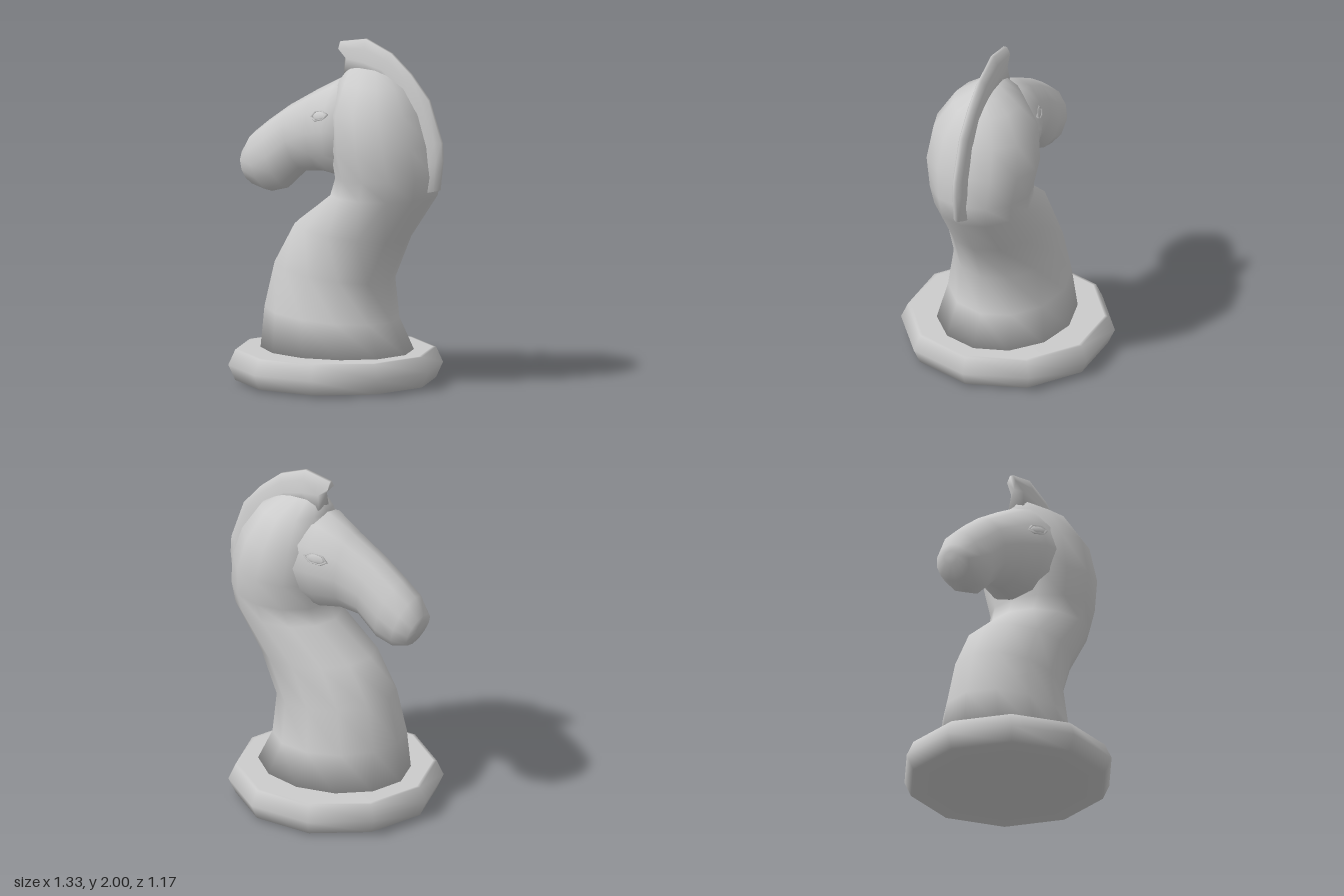
import * as THREE from 'three';

const material = new THREE.MeshStandardMaterial({ color: 0xcccccc, side: THREE.DoubleSide });

// Skins a list of equal-length closed rings of Vector3 and closes both ends.
function loft(name, rings) {
  const n = rings[0].length, pos = [], idx = [];
  rings.forEach(r => r.forEach(p => pos.push(p.x, p.y, p.z)));
  for (let i = 0; i < rings.length - 1; i++) {
    for (let j = 0; j < n; j++) {
      const a = i * n + j, b = i * n + (j + 1) % n;
      idx.push(a, b, a + n, b, b + n, a + n);
    }
  }
  [0, rings.length - 1].forEach((r, end) => {
    const c = pos.length / 3, mid = new THREE.Vector3();
    rings[r].forEach(p => mid.addScaledVector(p, 1 / n));
    pos.push(mid.x, mid.y, mid.z);
    for (let j = 0; j < n; j++) {
      const a = r * n + j, b = r * n + (j + 1) % n;
      if (end) idx.push(a, b, c); else idx.push(b, a, c);
    }
  });
  // Turn the faces outward if the enclosed volume is negative
  const v = k => new THREE.Vector3().fromArray(pos, idx[k] * 3);
  let volume = 0;
  for (let k = 0; k < idx.length; k += 3) volume += v(k).dot(v(k + 1).cross(v(k + 2)));
  if (volume < 0) idx.reverse();
  const g = new THREE.BufferGeometry();
  g.setAttribute('position', new THREE.Float32BufferAttribute(pos, 3));
  g.setIndex(idx);
  g.computeVertexNormals();
  const mesh = new THREE.Mesh(g, material);
  mesh.name = name;
  return mesh;
}

// Elliptical ring spanning two points of the side profile, with half-width w in z
function ellipseRing([x1, y1, x2, y2, w], sides = 12) {
  return Array.from({ length: sides }, (_, i) => {
    const a = i / sides * Math.PI * 2, t = (1 - Math.cos(a)) / 2;
    return new THREE.Vector3(x1 + (x2 - x1) * t, y1 + (y2 - y1) * t, w * Math.sin(a));
  });
}

export function createModel() {
  const group = new THREE.Group();
  group.name = 'chessKnight';

  // Ten-sided base disc with a bevelled rim
  const profile = [[0, 0], [0.4, 0.003], [0.575, 0.012], [0.615, 0.1], [0.575, 0.188], [0.555, 0.19], [0, 0.19]];
  const base = new THREE.Mesh(new THREE.LatheGeometry(
    profile.map(p => new THREE.Vector2(...p)), 10, Math.PI / 2), material);
  base.name = 'base';
  base.position.x = -0.055;
  group.add(base);

  // Neck and skull: front point, back point, half-width
  group.add(loft('neckAndSkull', [
    [-0.5, 0.18, 0.415, 0.18, 0.392],
    [-0.48, 0.43, 0.32, 0.37, 0.342],
    [-0.42, 0.69, 0.3, 0.6, 0.3],
    [-0.29, 0.92, 0.41, 0.85, 0.285],
    [-0.05, 1.1, 0.585, 1.11, 0.275],
    [-0.01, 1.2, 0.605, 1.24, 0.295],
    [-0.03, 1.36, 0.585, 1.42, 0.33],
    [-0.04, 1.58, 0.525, 1.6, 0.305],
    [0.0, 1.765, 0.43, 1.74, 0.2],
    [0.05, 1.84, 0.3, 1.825, 0.05],
  ].map(s => ellipseRing(s))));

  // Muzzle: top point, bottom point, half-width, from inside the skull to the nose
  group.add(loft('muzzle', [
    [0.2, 1.76, 0.15, 1.22, 0.25],
    [0.0, 1.77, -0.02, 1.19, 0.235],
    [-0.17, 1.68, -0.14, 1.21, 0.175],
    [-0.36, 1.57, -0.25, 1.2, 0.152],
    [-0.5, 1.47, -0.37, 1.09, 0.15],
    [-0.6, 1.39, -0.48, 1.06, 0.142],
    [-0.655, 1.29, -0.58, 1.09, 0.11],
    [-0.65, 1.25, -0.63, 1.18, 0.045],
  ].map(s => ellipseRing(s))));

  // Mane: thin crest from its root in the skull to a narrow outer edge
  const halfWidths = [0.052, 0.042, 0.03, 0.01];
  const crestRing = pts => [
    ...pts.map(([x, y], i) => new THREE.Vector3(x, y, halfWidths[i])),
    ...pts.map(([x, y], i) => new THREE.Vector3(x, y, -halfWidths[i])).reverse(),
  ];
  const rootToEdge = ([x1, y1, x2, y2]) =>
    [0, 0.4, 0.75, 1].map(t => [x1 + (x2 - x1) * t, y1 + (y2 - y1) * t]);
  group.add(loft('mane', [
    [[0.03, 1.79], [0.04, 1.88], [-0.02, 1.93], [-0.02, 1.97]], // forelock notch
    ...[
      [0.15, 1.78, 0.15, 2.0],
      [0.25, 1.77, 0.32, 1.93],
      [0.36, 1.7, 0.45, 1.82],
      [0.45, 1.58, 0.57, 1.68],
      [0.52, 1.44, 0.655, 1.44],
      [0.54, 1.29, 0.66, 1.34],
      [0.53, 1.14, 0.64, 1.165],
    ].map(rootToEdge),
  ].map(crestRing)));

  // Almond-shaped eyes with a raised rim, one on each side
  for (const side of [1, -1]) {
    const eye = new THREE.Group();
    eye.name = side > 0 ? 'frontEye' : 'backEye';
    const rim = new THREE.Mesh(new THREE.TorusGeometry(0.066, 0.011, 4, 6), material);
    rim.name = 'eyeRim';
    rim.scale.set(1, 0.45, 1);
    const ball = new THREE.Mesh(new THREE.SphereGeometry(0.06, 8, 6), material);
    ball.name = 'eyeball';
    ball.scale.set(1, 0.45, 0.15);
    eye.add(rim, ball);
    eye.position.set(-0.045, 1.565, side * 0.198);
    eye.rotation.set(-side * 0.3, -side * 0.32, 0.12);
    group.add(eye);
  }
  return group;
}
